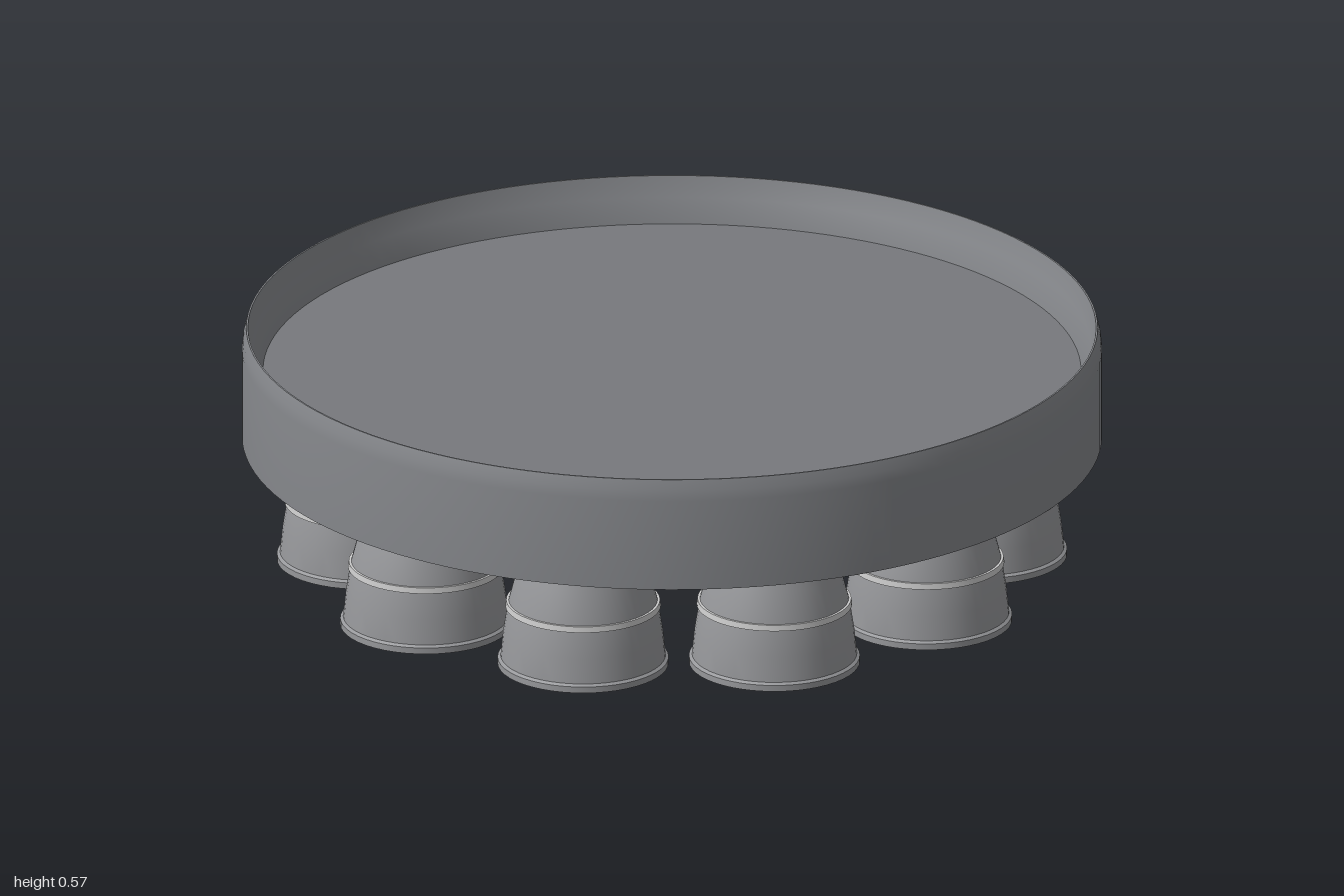
import * as THREE from 'three';
import { toCreasedNormals } from 'three/addons/utils/BufferGeometryUtils.js';

const mat = (color, side = THREE.FrontSide) => new THREE.MeshStandardMaterial({ color, side });
const shellMat = mat(0x85878b);
const plateMat = mat(0x77797d);
const bellMat = mat(0x96979a, THREE.DoubleSide);
const throatMat = mat(0xa08a70, THREE.DoubleSide);
const bandMat = mat(0xcccccc);

// Revolve a [radius, height] profile; ascending profiles face outward
function lathe(name, profile, material, segments) {
  const points = profile.map(([r, y]) => new THREE.Vector2(r, y));
  const geometry = toCreasedNormals(new THREE.LatheGeometry(points, segments), 0.6);
  const mesh = new THREE.Mesh(geometry, material);
  mesh.name = name;
  return mesh;
}

function createNozzle() {
  const nozzle = new THREE.Group();
  nozzle.name = 'nozzle';
  nozzle.add(
    // Bell: inner skin down to the exit, then outer skin back up
    lathe('bell', [
      [0.122, 0.31], [0.148, 0.23], [0.17, 0.15], [0.182, 0.08], [0.19, 0],
      [0.199, 0], [0.199, 0.015], [0.192, 0.02], [0.186, 0.08],
      [0.175, 0.15], [0.154, 0.23], [0.128, 0.31],
    ], bellMat, 48),
    // Heat-tinted upper cone
    lathe('throat', [[0.128, 0.31], [0.1, 0.39], [0.075, 0.46]], throatMat, 48),
    lathe('throatLining', [[0.07, 0.455], [0.095, 0.39], [0.122, 0.31]], bellMat, 48),
    // Stiffening band round the middle
    lathe('band', [[0.172, 0.143], [0.181, 0.143], [0.179, 0.157], [0.17, 0.157]], bandMat, 48),
  );
  return nozzle;
}

export function createModel() {
  const model = new THREE.Group();
  model.name = 'engineRing';

  // Outer skirt with a slightly tapered lip and flared inner wall
  model.add(lathe('skirt', [
    [0.95, 0.3], [1, 0.3], [1, 0.52], [0.997, 0.545], [0.99, 0.57],
    [0.986, 0.57], [0.974, 0.52], [0.95, 0.46], [0.95, 0.3],
  ], shellMat, 128));

  // Bulkhead plate closing the skirt
  const plate = new THREE.Mesh(new THREE.CylinderGeometry(0.952, 0.952, 0.01, 128), plateMat);
  plate.name = 'bulkhead';
  plate.position.y = 0.458;
  model.add(plate);

  // Ring of ten nozzles
  for (let i = 0; i < 10; i++) {
    const angle = THREE.MathUtils.degToRad(-2 + i * 36);
    const nozzle = createNozzle();
    nozzle.position.set(0.72 * Math.cos(angle), 0, 0.72 * Math.sin(angle));
    model.add(nozzle);
  }
  return model;
}
